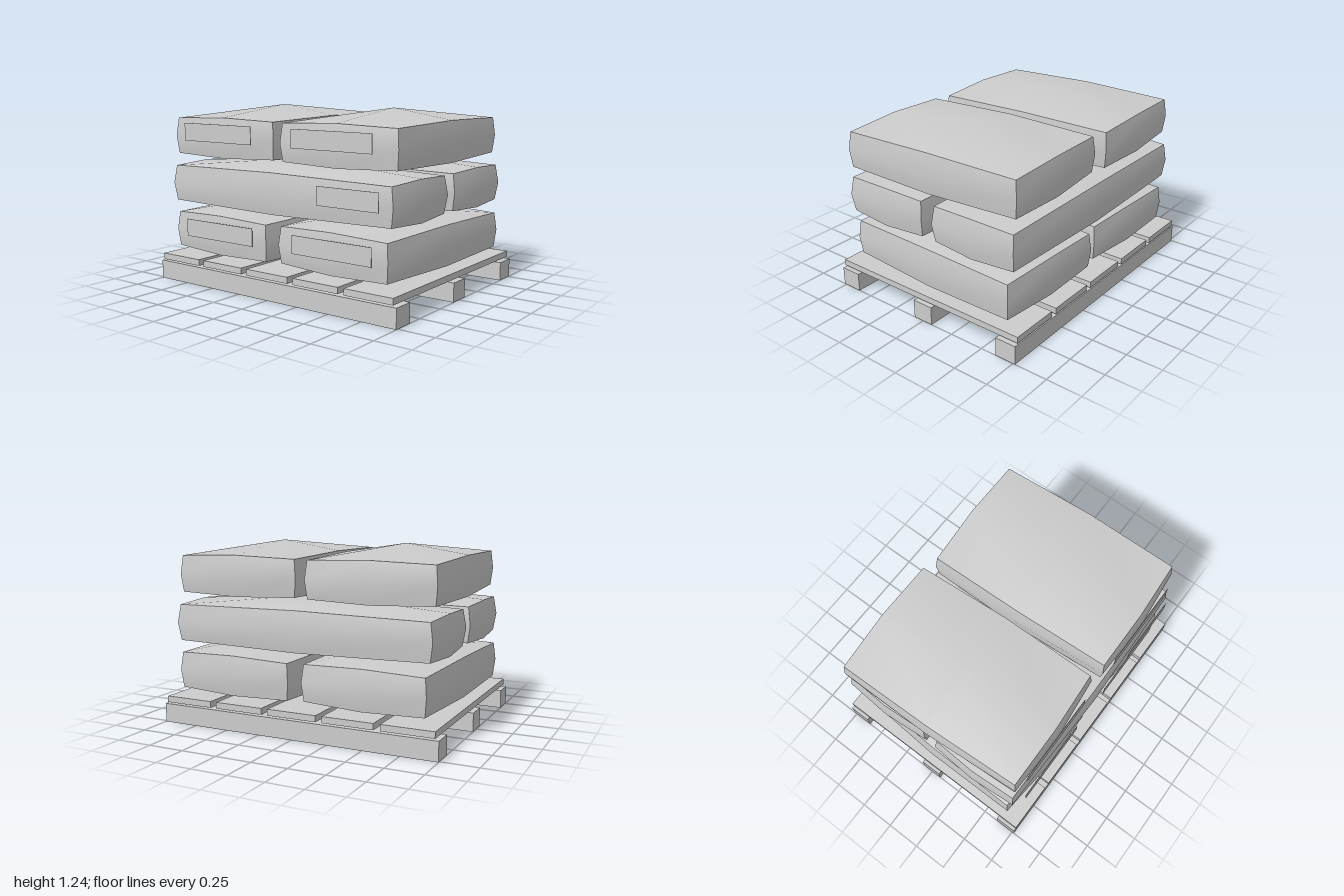
import * as THREE from 'three';

// Double sided because the pallet timbers are open underneath
const grey = new THREE.MeshStandardMaterial({ color: 0xcccccc, side: THREE.DoubleSide });
grey.name = 'plain grey';

function box(name, w, h, d, x, y, z) {
  const mesh = new THREE.Mesh(new THREE.BoxGeometry(w, h, d), grey);
  mesh.name = name;
  mesh.position.set(x, y, z);
  return mesh;
}

// Timber: a box without its bottom face
function timber(...args) {
  const mesh = box(...args);
  const index = Array.from(mesh.geometry.index.array);
  index.splice(18, 6);
  mesh.geometry.setIndex(index);
  mesh.geometry.clearGroups();
  return mesh;
}

// Half sizes per axis for [corner, edge middle, face centre]
const LONG = { x: [0.424, 0.437, 0.46], y: [0.124, 0.138, 0.207], z: [0.665, 0.678, 0.705] };
const WIDE = { x: [0.907, 0.926, 0.95], y: [0.124, 0.138, 0.207], z: [0.313, 0.326, 0.352] };

// Stuffed sack: a 2x2x2 box whose edge and face centres bulge outwards
function sackGeometry(size) {
  const geo = new THREE.BoxGeometry(2, 2, 2, 2, 2, 2);
  const pos = geo.attributes.position;
  for (let i = 0; i < pos.count; i++) {
    const v = [pos.getX(i), pos.getY(i), pos.getZ(i)].map(Math.round);
    const level = v.filter((c) => c === 0).length;
    pos.setXYZ(i, v[0] * size.x[level], v[1] * size.y[level], v[2] * size.z[level]);
  }
  geo.computeVertexNormals();
  return geo;
}

export function createModel() {
  const model = new THREE.Group();
  model.name = 'palletOfSacks';

  // Pallet: three runners and five deck boards
  const pallet = new THREE.Group();
  pallet.name = 'pallet';
  for (const z of [-0.69, 0, 0.69]) pallet.add(timber('runner', 2, 0.13, 0.152, 0, 0.065, z));
  for (let i = -2; i <= 2; i++) pallet.add(timber('deckBoard', 0.355, 0.043, 1.536, i * 0.4, 0.164, 0));
  model.add(pallet);

  const longSack = sackGeometry(LONG);
  const wideSack = sackGeometry(WIDE);

  function addSack(geo, x, y, z, yaw) {
    const sack = new THREE.Mesh(geo, grey);
    sack.name = 'sack';
    sack.position.set(x, y, z);
    sack.rotation.y = yaw;
    model.add(sack);
  }

  // Bottom and top layers: side by side, turned opposite ways
  for (const [y, yaw] of [[0.356, -0.035], [1.033, 0.035]]) {
    for (const side of [-1, 1]) {
      addSack(longSack, side * 0.478, y, 0, yaw);
      model.add(box('label', 0.616, 0.122, 0.004, side * 0.478, y + 0.032, 0.71));
    }
  }

  // Middle layer: crosswise, one behind the other
  for (const side of [-1, 1]) {
    addSack(wideSack, 0, 0.696, side * 0.37, 0);
    model.add(box('label', 0.464, 0.122, 0.004, 0.616, 0.725, side * 0.37 + 0.358));
  }

  return model;
}
